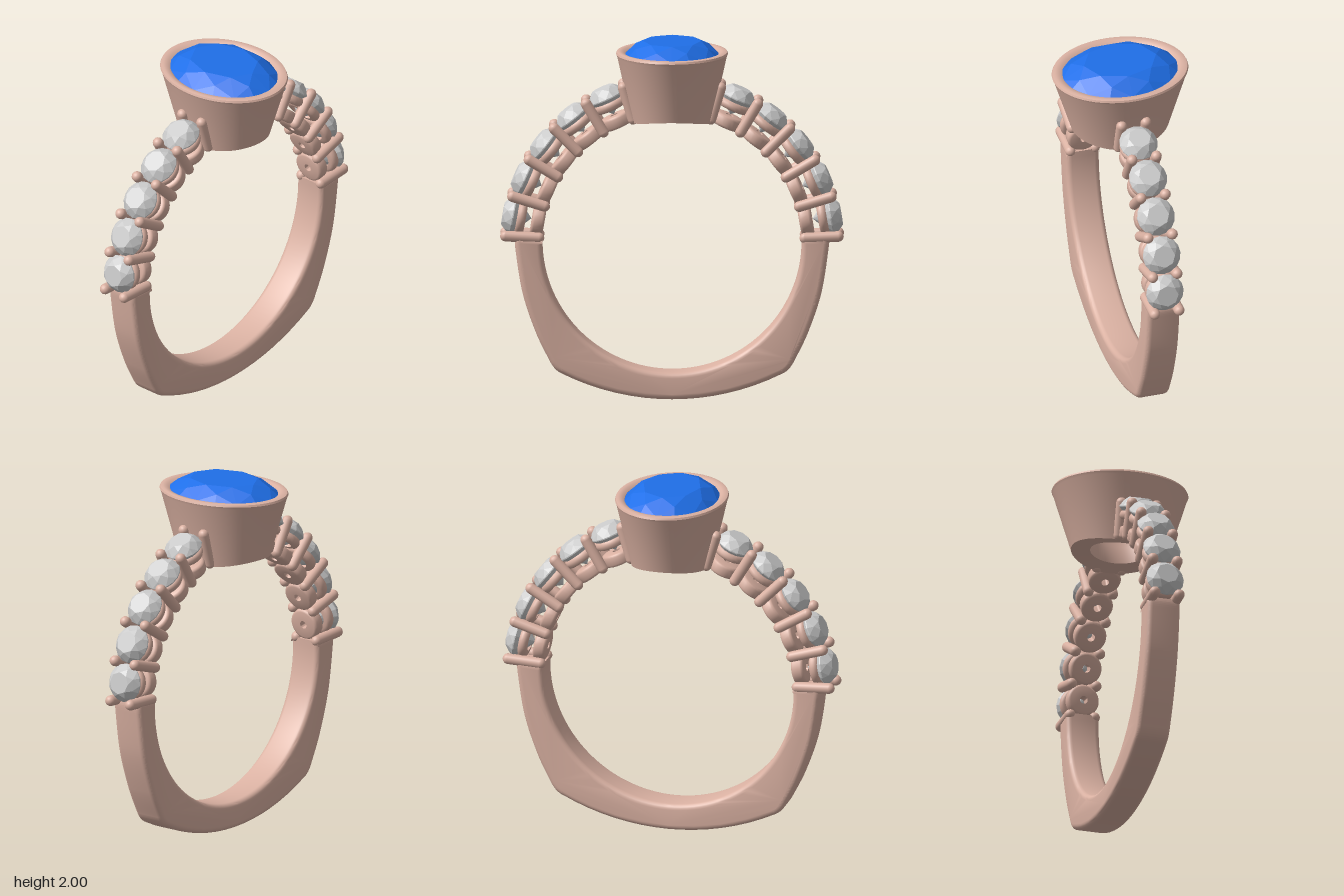
import * as THREE from 'three';
import { toCreasedNormals } from 'three/addons/utils/BufferGeometryUtils.js';
import { ConvexGeometry } from 'three/addons/geometries/ConvexGeometry.js';

const CENTRE_Y = 0.87;   // centre of the finger hole
const INNER_R = 0.715;   // finger hole radius
const FIRST = THREE.MathUtils.degToRad(3);
const STEP = THREE.MathUtils.degToRad(14);
const STONES = 5;

const metal = new THREE.MeshStandardMaterial({ color: 0xdab1a2 });
const blue = new THREE.MeshStandardMaterial({ color: 0x1f6fe8 });
const grey = new THREE.MeshStandardMaterial({ color: 0xcccccc });

function mesh(name, geometry, material) {
  const m = new THREE.Mesh(geometry, material);
  m.name = name;
  return m;
}

const v2 = (x, y) => new THREE.Vector2(x, y);

// Brilliant cut with its girdle at y = 0 and radius 1
function gemGeometry(crown, pavilion, table) {
  const points = [];
  const ring = (n, r, y, offset = 0) => {
    for (let i = 0; i < n; i++) {
      const a = ((i + offset) / n) * Math.PI * 2;
      points.push(new THREE.Vector3(r * Math.cos(a), y, r * Math.sin(a)));
    }
  };
  ring(8, table, crown);
  ring(8, (1 + table) / 2 + 0.02, crown * 0.6, 0.5);
  ring(16, 1, 0);
  ring(16, 1, -0.06);
  ring(8, 0.5, -0.06 - (pavilion - 0.06) * 0.52, 0.5);
  points.push(new THREE.Vector3(0, -pavilion, 0));
  return new ConvexGeometry(points);
}

// Washer with softened edges
function washerGeometry(hole, outer, y0, y1, b) {
  const profile = [
    v2(hole, y0), v2(outer - b, y0), v2(outer - b * 0.3, y0 + b * 0.3), v2(outer, y0 + b),
    v2(outer, y1 - b), v2(outer - b * 0.3, y1 - b * 0.3), v2(outer - b, y1),
    v2(hole, y1), v2(hole, y0),
  ];
  return toCreasedNormals(new THREE.LatheGeometry(profile, 28), 0.9);
}

// Plain lower band: round inside, with two shoulders at the base
function shank() {
  const side = [v2(0.865, 0.85), v2(0.825, 0.6), v2(0.75, 0.375), v2(0.67, 0.21)];
  const base = [];
  for (let i = 0; i <= 16; i++) {
    const x = 0.61 - (1.22 * i) / 16;
    base.push(v2(x, 0.005 + 1.36 - Math.sqrt(1.36 * 1.36 - x * x)));
  }
  const shape = new THREE.Shape();
  shape.moveTo(0.865, 0.91);
  shape.splineThru(side);
  shape.quadraticCurveTo(0.645, 0.165, base[0].x, base[0].y);
  base.slice(1).forEach((p) => shape.lineTo(p.x, p.y));
  shape.quadraticCurveTo(-0.645, 0.165, -0.67, 0.21);
  shape.splineThru([...side.slice(0, 3).reverse().map((p) => v2(-p.x, p.y)), v2(-0.865, 0.91)]);
  shape.lineTo(-INNER_R, 0.91);
  shape.absarc(0, CENTRE_Y, INNER_R, Math.PI - 0.056, Math.PI * 2 + 0.056, false);

  const geometry = new THREE.ExtrudeGeometry(shape, {
    depth: 0.13, bevelEnabled: true, bevelThickness: 0.03, bevelSize: 0.03,
    bevelOffset: -0.03, bevelSegments: 5, curveSegments: 32,
  });
  geometry.translate(0, 0, -0.065);
  return mesh('shank', toCreasedNormals(geometry, 0.6), metal);
}

// Oval tapered cup, its underside cut to follow the finger hole
function bezel() {
  const profile = [
    v2(0.135, 1.585), v2(0.222, 1.585), v2(0.303, 1.915), v2(0.309, 1.93), v2(0.305, 1.941),
    v2(0.292, 1.945), v2(0.272, 1.942), v2(0.257, 1.93), v2(0.252, 1.9),
    v2(0.135, 1.67), v2(0.135, 1.585),
  ];
  const geometry = new THREE.LatheGeometry(profile, 72);
  const p = geometry.attributes.position;
  for (let i = 0; i < p.count; i++) {
    const x = p.getX(i);
    if (p.getY(i) < 1.6) p.setY(i, CENTRE_Y + Math.sqrt(INNER_R * INNER_R - x * x));
  }
  geometry.scale(1, 1, 1.24);
  return mesh('bezel', toCreasedNormals(geometry, 0.7), metal);
}

export function createModel() {
  const ring = new THREE.Group();
  ring.name = 'ring';
  ring.add(shank(), bezel());

  // Oval centre stone
  const centre = mesh('centreStone', gemGeometry(0.28, 0.95, 0.62), blue);
  centre.scale.set(0.262, 0.262, 0.335);
  centre.rotation.y = 0;
  centre.position.y = 1.927;
  ring.add(centre);

  const stoneGeometry = gemGeometry(0.5, 1.0, 0.58);
  const lowerSeat = washerGeometry(0.022, 0.09, INNER_R, 0.785, 0.015);
  const upperSeat = washerGeometry(0.06, 0.1, 0.82, 0.872, 0.02);
  const prongGeometry = new THREE.CapsuleGeometry(0.03, 0.185, 5, 14);

  // Group whose local y points outward from the finger hole
  const station = (name, angle) => {
    const g = new THREE.Group();
    g.name = name;
    g.position.y = CENTRE_Y;
    g.rotation.z = angle - Math.PI / 2;
    ring.add(g);
    return g;
  };

  for (const left of [true, false]) {
    const place = (a) => (left ? a : Math.PI - a);
    const label = left ? 'left' : 'right';

    // Pairs of prongs between the stones
    for (let i = 0; i <= STONES; i++) {
      const pair = station(`${label}ProngPair${i + 1}`, place(FIRST + STEP * i));
      for (const z of [-0.07, 0.07]) {
        const prong = mesh('prong', prongGeometry, metal);
        prong.position.set(0, 0.828, z);
        pair.add(prong);
      }
    }

    // Round side stones, each on two stacked seats
    for (let i = 0; i < STONES; i++) {
      const setting = station(`${label}Setting${i + 1}`, place(FIRST + STEP * (i + 0.5)));
      const stone = mesh('sideStone', stoneGeometry, grey);
      stone.scale.setScalar(0.107);
      stone.position.y = 0.895;
      setting.add(stone, mesh('lowerSeat', lowerSeat, metal), mesh('upperSeat', upperSeat, metal));
    }
  }
  return ring;
}
